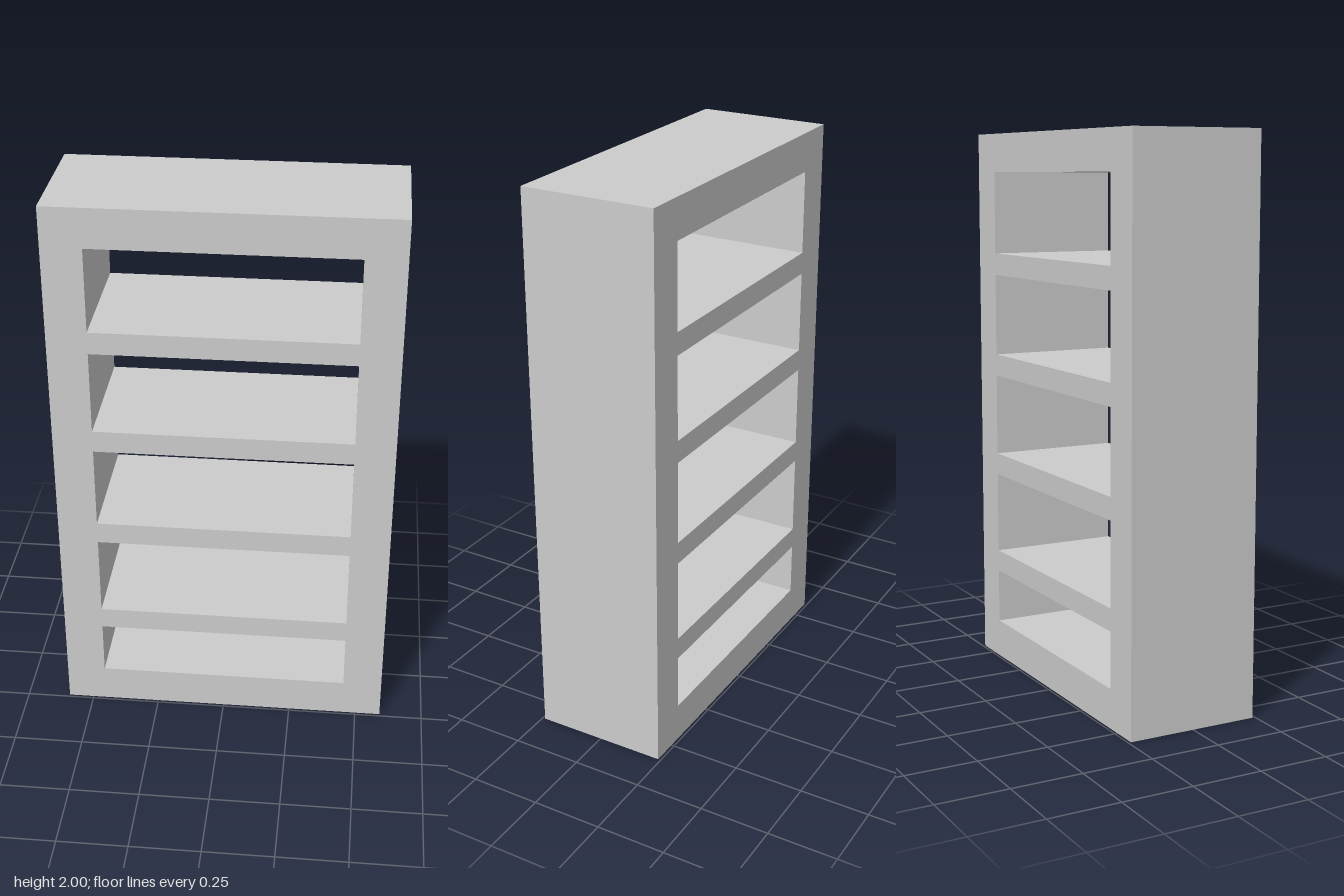
import * as THREE from 'three';

const HALF_WIDTH = 0.593, HEIGHT = 2, DEPTH = 0.48;
const HALF_OPENING = 0.452;

// Bottom and top of each open compartment, between the shelves
const COMPARTMENTS = [[0.14, 0.34], [0.42, 0.72], [0.8, 1.1], [1.18, 1.48], [1.56, 1.86]];

// Trace a rectangle on a Shape or Path
function rectangle(path, halfWidth, bottom, top) {
  path.moveTo(-halfWidth, bottom);
  path.lineTo(halfWidth, bottom);
  path.lineTo(halfWidth, top);
  path.lineTo(-halfWidth, top);
  path.closePath();
  return path;
}

export function createModel() {
  const group = new THREE.Group();
  group.name = 'openBookcase';

  // One-piece frame and shelves, open from front to back
  const outline = rectangle(new THREE.Shape(), HALF_WIDTH, 0, HEIGHT);
  for (const [bottom, top] of COMPARTMENTS) {
    outline.holes.push(rectangle(new THREE.Path(), HALF_OPENING, bottom, top));
  }
  const geometry = new THREE.ExtrudeGeometry(outline, { depth: DEPTH, bevelEnabled: false });
  geometry.translate(0, 0, -DEPTH / 2);

  const frame = new THREE.Mesh(geometry, new THREE.MeshStandardMaterial({ color: 0xcccccc }));
  frame.name = 'frameAndShelves';
  group.add(frame);
  return group;
}
